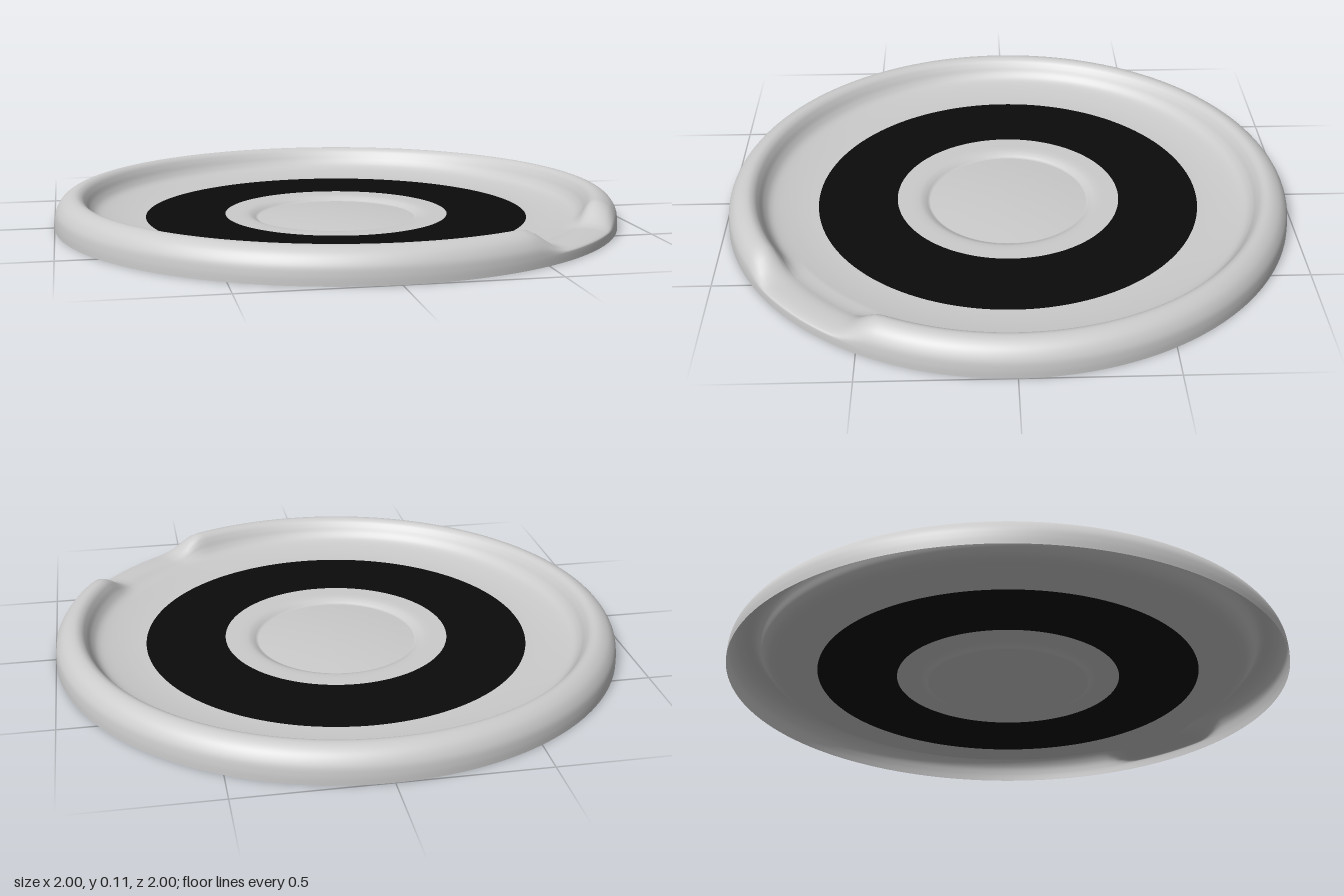
import * as THREE from 'three';
import { mergeVertices } from 'three/addons/utils/BufferGeometryUtils.js';

const SEGMENTS = 192;
const FLOOR = 0.018;

// Smooth revolved sheet; the profile runs from the outside inward so it faces up
function revolve(name, profile, steps, color, shape) {
  const curve = new THREE.SplineCurve(profile.map(([r, y]) => new THREE.Vector2(r, y)));
  let geometry = new THREE.LatheGeometry(curve.getPoints(steps), SEGMENTS);
  if (shape) shape(geometry.attributes.position);
  geometry.deleteAttribute('normal');
  geometry.deleteAttribute('uv');
  geometry = mergeVertices(geometry, 1e-5);
  geometry.computeVertexNormals();
  const mesh = new THREE.Mesh(geometry,
    new THREE.MeshStandardMaterial({ color, side: THREE.DoubleSide }));
  mesh.name = name;
  return mesh;
}

// Press the rim down in one place, easing back to full height on both sides
function pressNotch(position) {
  const centre = Math.PI / 4;
  const low = 0.03;
  for (let i = 0; i < position.count; i++) {
    const y = position.getY(i);
    if (y <= low) continue;
    const angle = Math.atan2(position.getX(i), position.getZ(i));
    const offset = THREE.MathUtils.radToDeg(Math.abs(angle - centre));
    const depth = 1 - THREE.MathUtils.smoothstep(offset, 9, 18);
    position.setY(i, THREE.MathUtils.lerp(y, low + (y - low) * 0.17, depth));
  }
}

export function createModel() {
  const group = new THREE.Group();
  group.name = 'rimmedDisc';

  // Rolled rim, open below, running into the gently dished floor
  group.add(revolve('rim', [
    [1, 0], [0.999, 0.03], [0.993, 0.06], [0.975, 0.088], [0.95, 0.105],
    [0.925, 0.11], [0.905, 0.102], [0.89, 0.084], [0.875, 0.06], [0.855, 0.041],
    [0.825, 0.031], [0.77, 0.023], [0.72, 0.019], [0.683, FLOOR],
  ], 80, 0xcccccc, pressNotch));

  // Flat dark band
  group.add(revolve('darkBand', [[0.683, FLOOR], [0.4, FLOOR]], 4, 0x0b0b0b));

  // Rounded lip stepping down to the centre
  group.add(revolve('centreLip', [
    [0.4, FLOOR], [0.36, FLOOR], [0.335, 0.0175], [0.315, 0.015],
    [0.3, 0.009], [0.29, 0.003], [0.284, 0.001],
  ], 24, 0xcccccc));

  // Slightly domed centre
  group.add(revolve('centreDome', [
    [0.284, 0.001], [0.21, 0.007], [0.14, 0.011], [0.07, 0.0135], [0, 0.0145],
  ], 16, 0xcccccc));

  return group;
}
